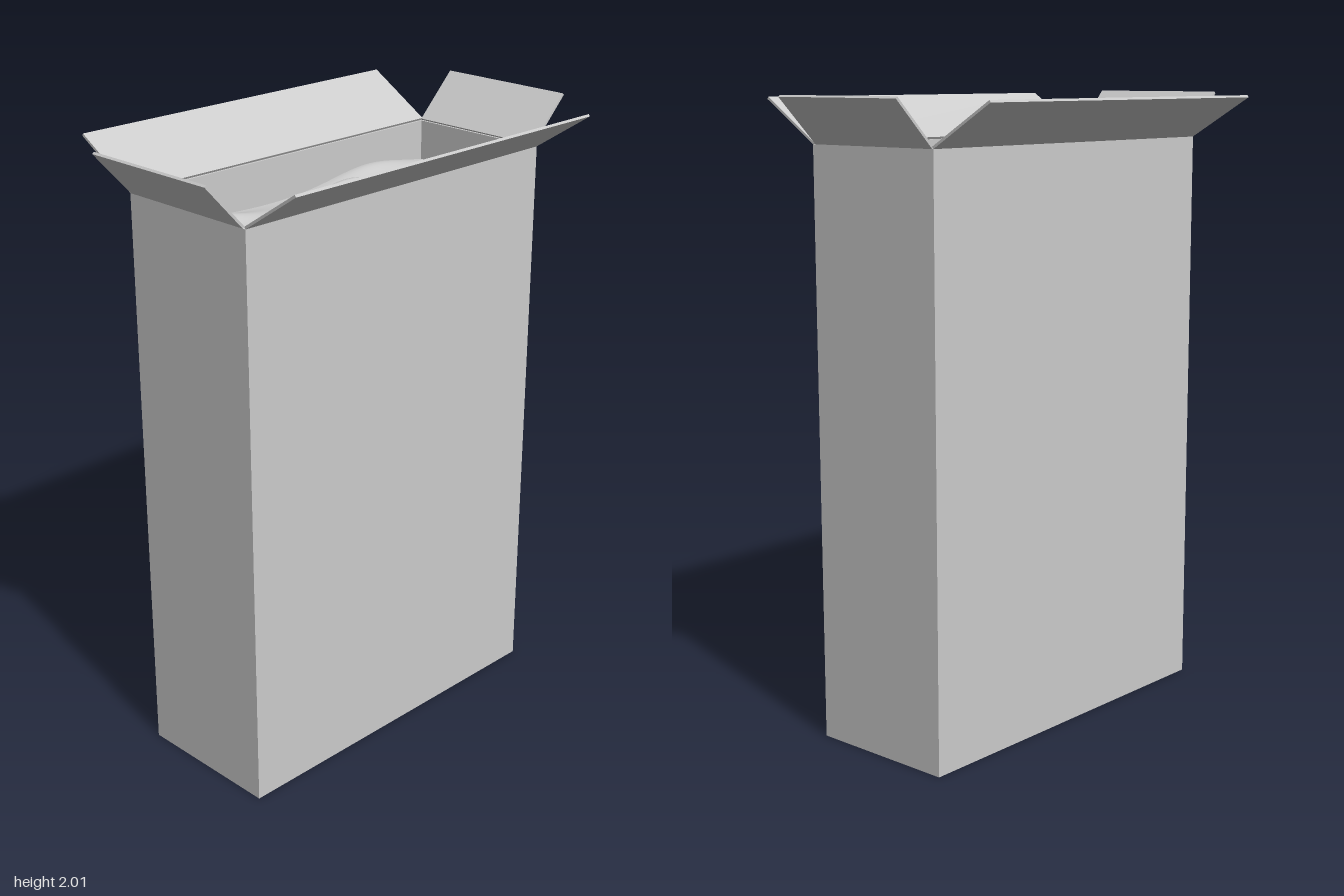
import * as THREE from 'three';

const X0 = -0.625, X1 = 0.615, Z0 = -0.24, Z1 = 0.255; // outer walls
const RIM = 1.86, T = 0.008; // rim height and cardboard thickness

const card = new THREE.MeshStandardMaterial({ color: 0xcccccc });
const sheet = new THREE.MeshStandardMaterial({ color: 0xcccccc, side: THREE.DoubleSide });

// Box given by its minimum and maximum corners
function slab(name, a, b) {
  const mesh = new THREE.Mesh(new THREE.BoxGeometry(b[0] - a[0], b[1] - a[1], b[2] - a[2]), card);
  mesh.position.set((a[0] + b[0]) / 2, (a[1] + b[1]) / 2, (a[2] + b[2]) / 2);
  mesh.name = name;
  return mesh;
}

// Open flap: thin board rising outward from its hinge, centred at the hinge line
function flap(name, width, out, up, turn, x, z) {
  const length = Math.hypot(out, up);
  const geometry = new THREE.BoxGeometry(width, length, T);
  geometry.translate(0, length / 2, -T / 2);
  geometry.rotateX(Math.atan2(out, up));
  geometry.rotateY(turn);
  const mesh = new THREE.Mesh(geometry, card);
  mesh.position.set(x, RIM, z);
  mesh.name = name;
  return mesh;
}

// Soft folds in the contents: centre x, centre z, spread x, spread z, height
const folds = [
  [-0.5, -0.16, 0.24, 0.045, 0.05],
  [-0.5, 0.01, 0.22, 0.04, 0.02],
  [0.06, -0.06, 0.2, 0.055, 0.07],
  [0.25, 0.0, 0.15, 0.04, 0.03],
  [-0.1, 0.17, 0.18, 0.045, 0.045],
  [0.5, 0.05, 0.16, 0.06, 0.03],
  [0.58, 0.24, 0.14, 0.06, 0.03],
  [0.35, -0.22, 0.2, 0.06, 0.03],
];
function contentsHeight(x, z) {
  let y = 1.725;
  for (const [cx, cz, sx, sz, h] of folds)
    y += h * Math.exp(-(((x - cx) / sx) ** 2) - ((z - cz) / sz) ** 2);
  return y + 0.008 * Math.sin(7 * x + 4 * z);
}

function contents() {
  const geometry = new THREE.PlaneGeometry(X1 - X0 - T, Z1 - Z0 - T, 72, 40);
  geometry.rotateX(-Math.PI / 2);
  geometry.translate((X0 + X1) / 2, 0, (Z0 + Z1) / 2);
  const p = geometry.attributes.position;
  for (let i = 0; i < p.count; i++) p.setY(i, contentsHeight(p.getX(i), p.getZ(i)));
  geometry.computeVertexNormals();
  const mesh = new THREE.Mesh(geometry, sheet);
  mesh.name = 'crumpledContents';
  return mesh;
}

export function createModel() {
  const model = new THREE.Group();
  model.name = 'openCarton';

  // Walls and bottom
  model.add(
    slab('frontWall', [X0, 0, Z1 - T], [X1, RIM, Z1]),
    slab('backWall', [X0, 0, Z0], [X1, RIM, Z0 + T]),
    slab('leftWall', [X1 - T, 0, Z0 + T], [X1, RIM, Z1 - T]),
    slab('rightWall', [X0, 0, Z0 + T], [X0 + T, RIM, Z1 - T]),
    slab('bottom', [X0 + T, 0, Z0 + T], [X1 - T, T, Z1 - T]),
  );

  // Flaps folded outward
  const cx = (X0 + X1) / 2;
  const w = X1 - X0, d = 0.48;
  model.add(
    flap('frontFlap', w, 0.2, 0.13, 0, cx, Z1),
    flap('backFlap', w, 0.215, 0.13, Math.PI, cx, Z0),
    flap('leftFlap', d, 0.14, 0.14, Math.PI / 2, X1, 0.004),
    flap('rightFlap', d, 0.13, 0.14, -Math.PI / 2, X0, 0.004),
  );

  model.add(contents());
  return model;
}
